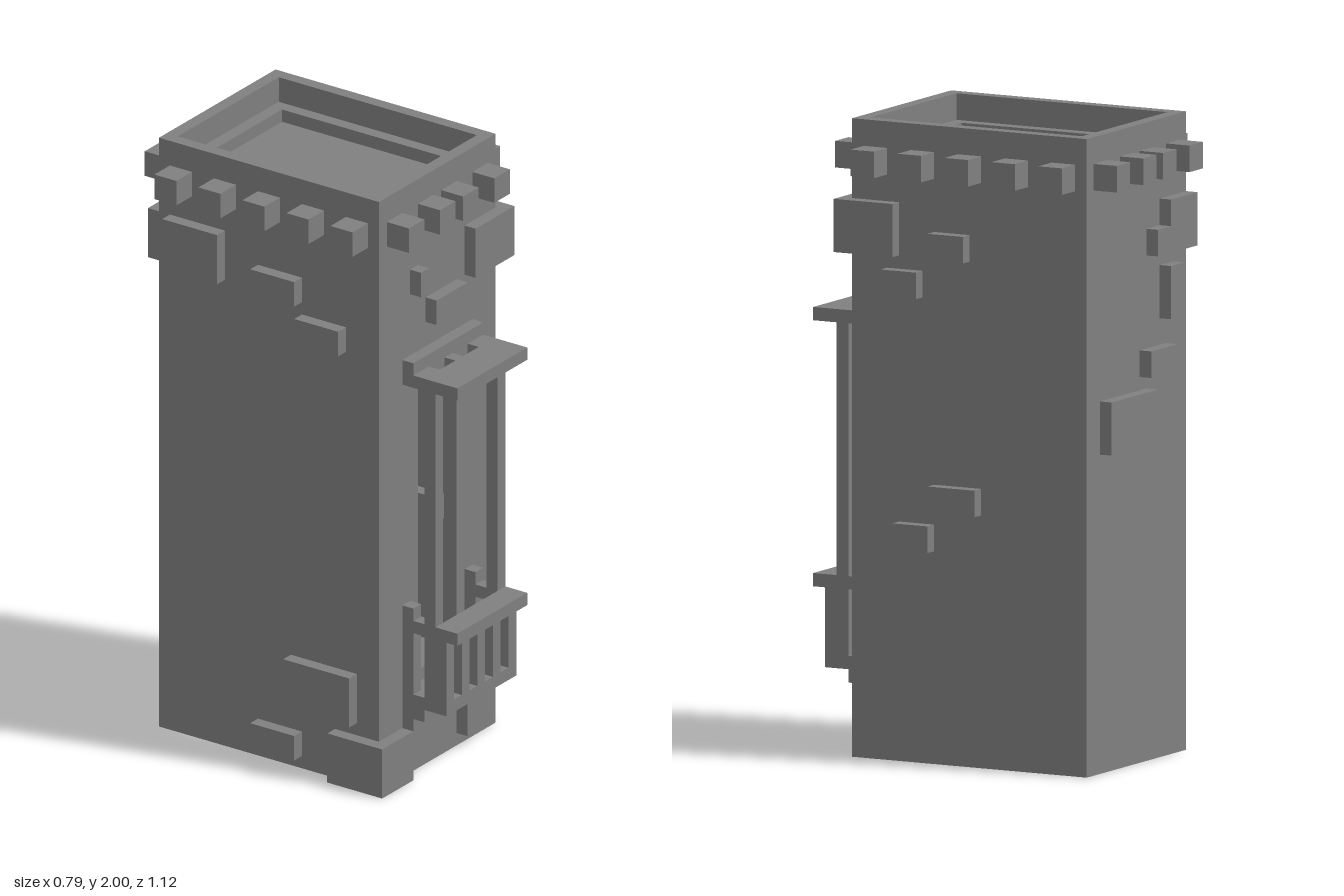
import * as THREE from 'three';

const U = 1 / 24; // one block

export function createModel() {
  const model = new THREE.Group();
  model.name = 'tower';
  const stone = new THREE.MeshStandardMaterial({ color: 0x808080 });
  stone.name = 'greyStone';

  // Box from its limits, counted in blocks
  function block(name, x0, x1, y0, y1, z0, z1) {
    const geo = new THREE.BoxGeometry((x1 - x0) * U, (y1 - y0) * U, (z1 - z0) * U);
    const mesh = new THREE.Mesh(geo, stone);
    mesh.position.set((x0 + x1) * U / 2, (y0 + y1) * U / 2, (z0 + z1) * U / 2);
    mesh.name = name;
    model.add(mesh);
  }

  // Rectangle with rectangular holes, each given as [x0, x1, y0, y1]
  function rect(Type, [x0, x1, y0, y1]) {
    const p = new Type();
    p.moveTo(x0 * U, y0 * U).lineTo(x1 * U, y0 * U).lineTo(x1 * U, y1 * U).lineTo(x0 * U, y1 * U);
    p.closePath();
    return p;
  }
  function pierced(name, outer, holes, depth) {
    const shape = rect(THREE.Shape, outer);
    holes.forEach(h => shape.holes.push(rect(THREE.Path, h)));
    const geo = new THREE.ExtrudeGeometry(shape, { depth: depth * U, bevelEnabled: false });
    const mesh = new THREE.Mesh(geo, stone);
    mesh.name = name;
    model.add(mesh);
    return mesh;
  }
  // Horizontal pierced slab; outlines are in x and -z, lying on height y
  function slab(name, outer, holes, y, depth) {
    const mesh = pierced(name, outer, holes, depth);
    mesh.rotation.x = -Math.PI / 2;
    mesh.position.y = y * U;
  }

  // Hollow shaft with a doorway in the front wall
  pierced('frontWall', [-7.5, 7.5, 0, 48], [[-2.5, 2.5, 8, 32]], 1).position.z = 7.5 * U;
  block('backWall', -7.5, 7.5, 0, 48, -11.5, -10.5);
  for (const s of [-1, 1]) {
    block('sideWall', s * 7 - 0.5, s * 7 + 0.5, 0, 48, -10.5, 7.5);
  }

  // Sunken roof with a stepped ledge
  slab('roofLedge', [-6.5, 6.5, -7.5, 10.5], [[-5.5, 5.5, -6.5, 9.5]], 45, 1);
  block('roofFloor', -6.5, 6.5, 44, 45, -10.5, 7.5);

  // Projecting blocks below the parapet
  for (const x of [-5.5, -1.5, 1.5, 5.5]) {
    block('frontCorbel', x - 1, x + 1, 44, 46, 8.5, 10.5);
    block('backCorbel', x - 1, x + 1, 44, 46, -13.5, -11.5);
  }
  for (const z of [-9.5, -5.5, -1.5, 2.5, 6.5]) {
    block('leftCorbel', 7.5, 9.5, 44, 46, z - 1, z + 1);
    block('rightCorbel', -9.5, -7.5, 44, 46, z - 1, z + 1);
  }

  // Bricks on the left wall: y0, y1, z0, z1
  for (const b of [[38, 40, -1.5, 1.5], [35, 37, 2.5, 5.5], [19, 21, -2.5, 1.5], [16, 18, 1.5, 4.5]]) {
    block('leftBrick', 5.5, 8.5, ...b);
  }
  // Bricks on the right wall
  for (const b of [[38, 42, -10.5, -5.5], [38, 40, -2.5, 1.5], [35, 37, 1.5, 5.5],
    [5, 9, 0.5, 6.5], [1, 3, -2.5, 1.5]]) {
    block('rightBrick', -8.5, -5.5, ...b);
  }
  // Bricks on the back wall: x0, x1, y0, y1
  for (const b of [[-7.5, -1.5, 38, 40], [-7.5, -3.5, 40, 42], [-5.5, -3.5, 33, 37],
    [-4.5, -0.5, 29, 31], [-1.5, 5.5, 24, 28]]) {
    block('backBrick', ...b, -12.5, -10);
  }
  // Bricks on the front wall
  for (const b of [[-3.5, -2.5, 39, 41], [-1.5, 2.5, 36, 38]]) {
    block('frontBrick', ...b, 6.5, 9.5);
  }
  // Bricks wrapping the corners
  block('cornerBrick', 3.5, 8.5, 38, 42, 4.5, 9.5);
  block('cornerBrick', -8.5, -4.5, 0, 4, 4.5, 9.5);

  // Doorway canopy with two slots
  slab('canopy', [-4.5, 4.5, -13.5, -8.5],
    [[-2.5, -0.5, -10.5, -9.5], [0.5, 2.5, -10.5, -9.5]], 32, 1);
  block('canopyBack', -4.5, 4.5, 33, 34, 8.5, 9.5);

  // Balcony floor, balusters and handrail
  block('balconyBase', -4.5, 4.5, 5, 7, 8.5, 10.5);
  block('balconyFloor', -4.5, 4.5, 6, 7, 10.5, 12.5);
  for (const x of [-4, -2, 0, 2, 4]) {
    block('baluster', x - 0.5, x + 0.5, 7, 12, Math.abs(x) === 4 ? 10.5 : 11.5, 12.5);
  }
  block('handrail', -4.5, 4.5, 12, 13, 11.5, 13.5);
  for (const s of [-1, 1]) {
    const x = s * 4;
    block('sideRail', x - 0.5, x + 0.5, 12, 13, 9.5, 11.5);
    block('balconyPost', x - 0.5, x + 0.5, 13, 32, 10.5, 11.5);
    block('wallPost', x - 0.5, x + 0.5, 7, 14, 8.5, 9.5);
    block('balconyBracket', s * 3.5 - 1, s * 3.5 + 1, 1, 5, 8.5, 9.5);
  }
  // Step inside the doorway
  block('doorStep', -2.5, 2.5, 7, 8, 4.5, 7.5);

  return model;
}
